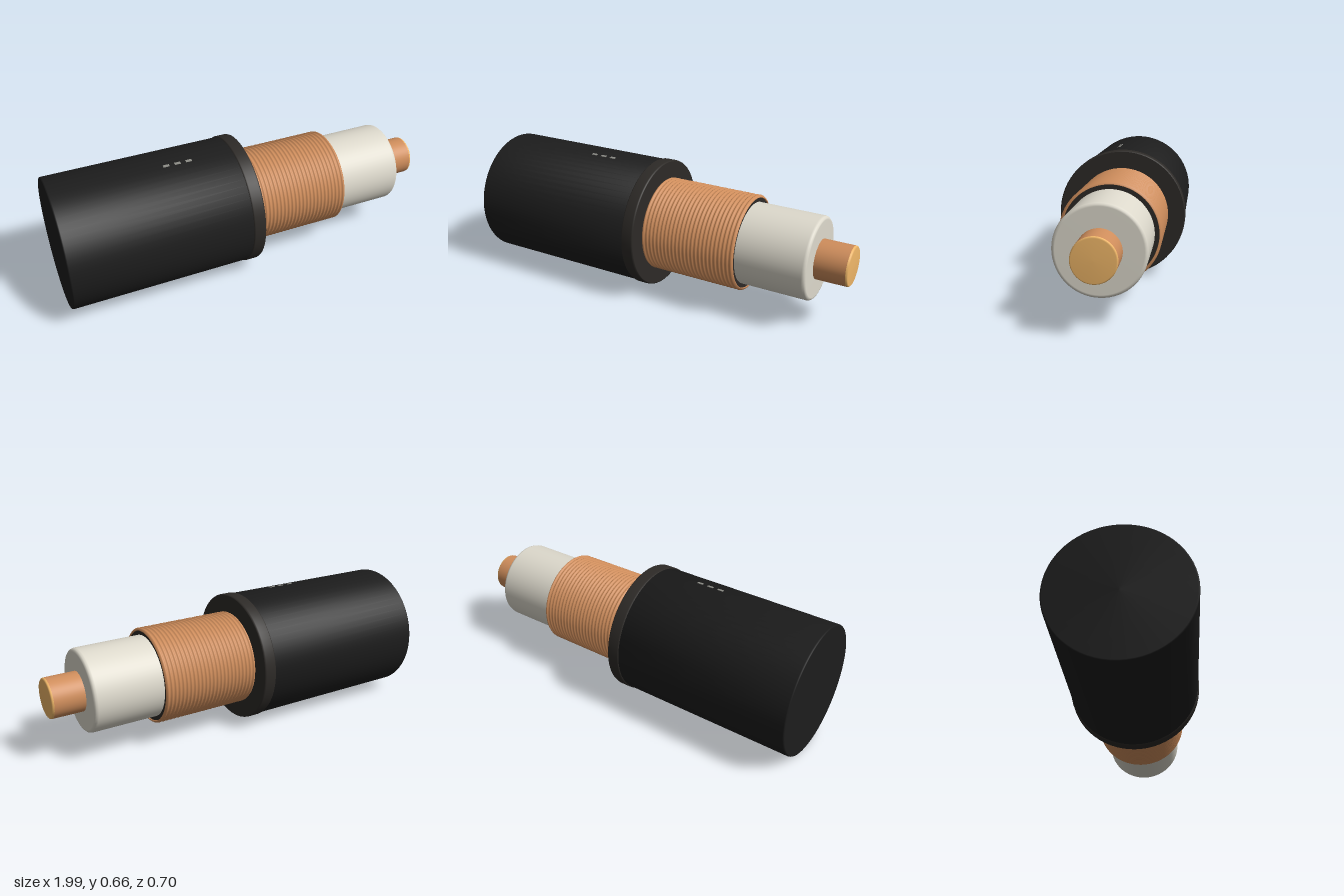
import * as THREE from 'three';

const material = (color) => new THREE.MeshStandardMaterial({ color });

// Solid of revolution along x; profile is a list of [x, radius] from back to front
function turned(name, profile, mat) {
  const points = profile.map(([x, r]) => new THREE.Vector2(r, x));
  const geometry = new THREE.LatheGeometry(points, 64);
  geometry.rotateZ(-Math.PI / 2);
  const mesh = new THREE.Mesh(geometry, mat);
  mesh.name = name;
  return mesh;
}

export function createModel() {
  const model = new THREE.Group();
  model.name = 'cutawayCable';
  const cable = new THREE.Group();
  cable.name = 'cable';
  cable.position.set(0, 0.336, 0.017);
  cable.rotation.y = -0.0436;
  model.add(cable);

  const black = material(0x1c1c1c);
  const darkGrey = material(0x2d2a27);
  const copper = material(0xd08e5c);
  const brass = material(0xf0b768);
  const white = material(0xdedacd);
  const markGrey = material(0x8a8a84);

  // Outer jacket
  cable.add(turned('jacket', [
    [-0.985, 0], [-0.985, 0.32], [-0.983, 0.325], [-0.978, 0.327],
    [-0.06, 0.327], [-0.06, 0],
  ], black));

  // Cut edge of the jacket; doubled points keep the front face flat
  cable.add(turned('jacketCollar', [
    [-0.082, 0.32], [-0.08, 0.328], [-0.074, 0.332], [-0.024, 0.332],
    [-0.018, 0.33], [-0.016, 0.326], [-0.016, 0.326], [-0.016, 0],
  ], darkGrey));

  // Braided shield: a ribbed copper tube with an open front rim
  const ribs = 24, start = -0.02, end = 0.482, pitch = (end - start) / ribs;
  const braid = [];
  for (let i = 0; i < ribs; i++) {
    for (let k = 0; k < 4; k++) {
      braid.push([start + (i + k / 4) * pitch, 0.232 + 0.01 * Math.sin(Math.PI * k / 4)]);
    }
  }
  braid.push([end, 0.232], [end, 0.229], [end, 0.229], [0.47, 0.229]);
  cable.add(turned('braidedShield', braid, copper));

  // Dark layer under the braid
  cable.add(turned('innerFoil', [
    [-0.02, 0.228], [0.476, 0.228], [0.476, 0.228], [0.476, 0],
  ], darkGrey));

  // Insulation with a softly rounded end
  cable.add(turned('insulation', [
    [0.4, 0.207], [0.81, 0.207], [0.82, 0.204], [0.826, 0.198], [0.828, 0.19], [0.828, 0],
  ], white));

  // Centre conductor and its bright cut end
  cable.add(turned('conductor', [[0.8, 0.099], [0.98, 0.099]], copper));
  cable.add(turned('conductorTip', [
    [0.978, 0.099], [0.986, 0.098], [0.991, 0.092], [0.992, 0],
  ], brass));

  // Three printed dashes on top of the jacket
  const tilt = 0.153;
  for (let i = 0; i < 3; i++) {
    const mark = new THREE.Mesh(new THREE.BoxGeometry(0.03, 0.004, 0.015), markGrey);
    mark.name = 'jacketMark';
    mark.position.set(-0.418 + i * 0.057, 0.327 * Math.cos(tilt), 0.327 * Math.sin(tilt));
    mark.rotation.x = tilt;
    cable.add(mark);
  }

  return model;
}
